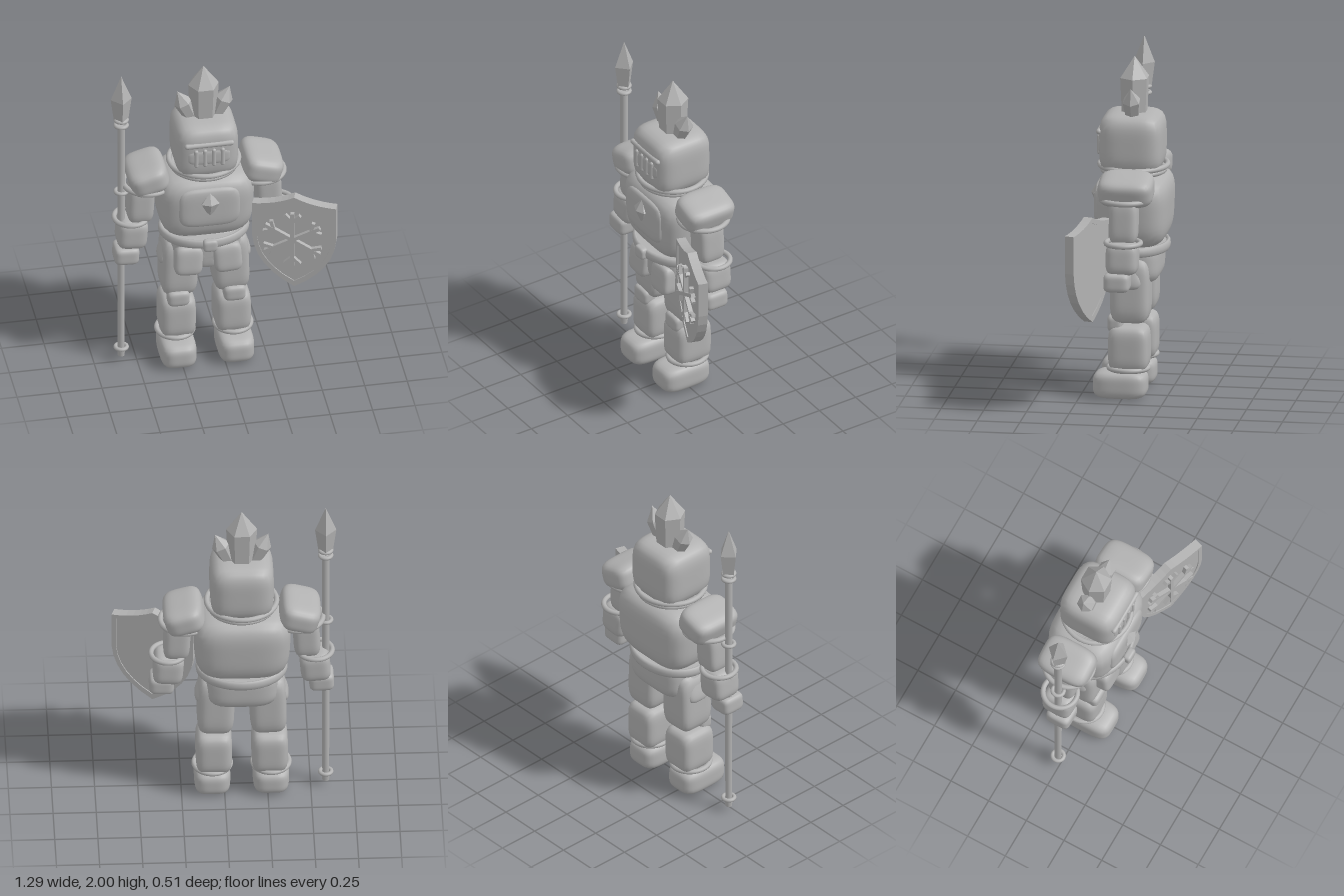
import * as THREE from 'three';
import { mergeVertices } from 'three/addons/utils/BufferGeometryUtils.js';

const steel = new THREE.MeshStandardMaterial({ color: 0xb2b2b2 });
steel.name = 'grey steel';

function add(parent, name, geo, x = 0, y = 0, z = 0, rz = 0, rx = 0) {
  const m = new THREE.Mesh(geo, steel);
  m.name = name;
  m.position.set(x, y, z);
  m.rotation.set(rx, 0, rz);
  parent.add(m);
  return m;
}

// Smooth pillow block; n sets how boxy it is, taper widens the top
function puff(w, h, d, n = 4.5, taper = 0) {
  let g = new THREE.BoxGeometry(2, 2, 2, 12, 12, 12);
  g.deleteAttribute('uv');
  g.deleteAttribute('normal');
  g = mergeVertices(g);
  const p = g.attributes.position;
  for (let i = 0; i < p.count; i++) {
    const v = [p.getX(i), p.getY(i), p.getZ(i)].map((c) => Math.tan(c * 0.7854));
    const r = Math.pow(v.reduce((s, c) => s + Math.abs(c) ** n, 0), 1 / n);
    const y = v[1] / r, k = 1 + taper * y;
    p.setXYZ(i, (v[0] / r) * k * w / 2, y * h / 2, (v[2] / r) * k * d / 2);
  }
  g.computeVertexNormals();
  return g;
}

// Horizontal oval band
const ring = (rx, rz, t, h = t) =>
  new THREE.TorusGeometry(rx, t, 10, 40).rotateX(Math.PI / 2).scale(1, h / t, rz / rx);

// Faceted turned shape from [radius, height] pairs
function facet(profile, sides, turn = 0) {
  const g = new THREE.LatheGeometry(profile.map(([r, y]) => new THREE.Vector2(r, y)), sides)
    .rotateY(turn).toNonIndexed();
  g.computeVertexNormals();
  return g;
}

function buildBody(body) {
  // Head, visor and collar
  add(body, 'helmet', puff(0.37, 0.36, 0.37, 4.5), 0, 1.495, -0.03);
  add(body, 'brow', new THREE.CapsuleGeometry(0.016, 0.26, 6, 12).rotateZ(Math.PI / 2), 0, 1.572, 0.15);
  add(body, 'visorPlate', puff(0.25, 0.1, 0.05, 4), 0, 1.485, 0.135);
  for (let i = 0; i < 4; i++)
    add(body, 'visorBar', new THREE.CapsuleGeometry(0.013, 0.095, 6, 10), -0.078 + i * 0.052, 1.485, 0.155);
  add(body, 'collarTop', ring(0.203, 0.197, 0.016), 0, 1.357, -0.035);
  add(body, 'collarBottom', ring(0.185, 0.18, 0.016), 0, 1.327, -0.035);

  // Crystal crest
  add(body, 'crestCrystal', facet([[0, 0], [0.078, 0], [0.09, 0.245], [0, 0.37]], 6, Math.PI / 6 + Math.PI / 3),
    0, 1.63, -0.04);
  for (const s of [-1, 1])
    add(body, 'sideCrystal', facet([[0, 0], [0.038, 0], [0.055, 0.14], [0, 0.225]], 6, Math.PI / 2),
      s * 0.065, 1.632, -0.04, -s * 0.41);

  // Torso
  add(body, 'chest', puff(0.56, 0.43, 0.42, 4, 0.04), 0, 1.105, -0.045);
  add(body, 'chestPlate', puff(0.36, 0.26, 0.09, 4.5), 0, 1.135, 0.135);
  add(body, 'chestGem', facet([[0, -0.09], [0.06, 0.02], [0, 0.09]], 6, 0).scale(1, 1, 0.75), 0, 1.16, 0.17);
  add(body, 'pelvis', puff(0.42, 0.26, 0.32, 4), 0, 0.8, -0.045);
  add(body, 'belt', ring(0.25, 0.2, 0.017, 0.029), 0, 0.882, -0.035);
  add(body, 'waist', new THREE.CylinderGeometry(0.245, 0.245, 0.03, 40).scale(1, 1, 0.8), 0, 0.882, -0.035);
  add(body, 'buckle', puff(0.085, 0.075, 0.05, 4), 0, 0.882, 0.178);
  add(body, 'frontFlap', puff(0.12, 0.2, 0.09, 4, 0.15), 0, 0.765, 0.07);

  for (const s of [-1, 1]) {
    // Legs
    add(body, 'hipPlate', puff(0.165, 0.185, 0.1, 4.5), s * 0.115, 0.74, 0.095, s * 0.06, -0.1);
    add(body, 'sideHipPlate', puff(0.06, 0.2, 0.13, 3, -0.45), s * 0.225, 0.76, -0.04, s * 0.2);
    add(body, 'thigh', puff(0.215, 0.385, 0.23, 5), s * 0.15, 0.645, -0.042, s * 0.03);
    add(body, 'knee', puff(0.13, 0.1, 0.09, 4), s * 0.165, 0.448, 0.045);
    add(body, 'shin', puff(0.21, 0.27, 0.235, 5), s * 0.162, 0.302, -0.035);
    add(body, 'ankleRing', ring(0.106, 0.113, 0.015), s * 0.17, 0.182, -0.03);
    add(body, 'boot', puff(0.21, 0.165, 0.315, 4), s * 0.17, 0.085, 0.015);
    // Arms
    add(body, 'shoulderPad', puff(0.235, 0.165, 0.32, 4), s * 0.335, 1.29, -0.043, -s * 0.28);
    add(body, 'shoulderRing', ring(0.143, 0.143, 0.016), s * 0.328, 1.23, -0.037);
    add(body, 'upperArm', puff(0.155, 0.27, 0.165, 4.5), s * 0.375, 1.11, -0.035, s * 0.05);
    add(body, 'elbowRing', ring(0.098, 0.1, 0.015), s * 0.427, 0.99, -0.04);
    add(body, 'forearm', puff(0.175, 0.19, 0.185, 4.5), s * 0.425, 0.9, -0.035, s * 0.08);
    add(body, 'hand', puff(0.145, 0.11, 0.15, 5), s * 0.463, 0.765, -0.01, s * 0.04);
  }
}

function buildSpear(spear) {
  add(spear, 'shaft', new THREE.CylinderGeometry(0.023, 0.02, 1.62, 12), 0, 0.85, 0);
  add(spear, 'buttCap', new THREE.CylinderGeometry(0.024, 0.02, 0.045, 12), 0, 0.055, 0);
  for (const y of [0.09, 1.19, 1.657, 1.695])
    add(spear, 'shaftRing', ring(0.033, 0.033, 0.012), 0, y, 0);
  add(spear, 'spearhead', facet([[0, 1.68], [0.042, 1.69], [0.062, 1.84], [0, 2.0]], 4));
}

// Shield outline, scaled about its middle
function shieldOutline(k, Kind = THREE.Shape) {
  const s = new Kind(), X = (x) => x * k, Y = (y) => 0.87 + (y - 0.87) * k;
  s.moveTo(X(0), Y(0.53));
  s.quadraticCurveTo(X(0.23), Y(0.66), X(0.245), Y(0.87));
  s.lineTo(X(0.245), Y(1.095));
  s.quadraticCurveTo(X(0.11), Y(1.1), X(0), Y(1.155));
  s.quadraticCurveTo(X(-0.11), Y(1.1), X(-0.245), Y(1.095));
  s.lineTo(X(-0.245), Y(0.87));
  s.quadraticCurveTo(X(-0.23), Y(0.66), X(0), Y(0.53));
  return s;
}

function buildShield(shield) {
  const extrude = (shape, depth) =>
    new THREE.ExtrudeGeometry(shape, { depth, bevelEnabled: false, curveSegments: 6 }).translate(0, 0, -depth / 2);
  const rim = shieldOutline(1);
  rim.holes.push(shieldOutline(0.89, THREE.Path));
  add(shield, 'shieldRim', extrude(rim, 0.056));
  add(shield, 'shieldPanel', extrude(shieldOutline(0.9), 0.044));

  // Raised snowflake
  const flake = new THREE.Group();
  flake.name = 'snowflake';
  flake.position.set(-0.01, 0.865, 0.032);
  shield.add(flake);
  for (let i = 0; i < 6; i++) {
    const arm = new THREE.Group();
    arm.name = 'snowflakeArm';
    arm.rotation.z = (i * Math.PI) / 3;
    flake.add(arm);
    add(arm, 'spoke', new THREE.BoxGeometry(0.022, 0.185, 0.03), 0, 0.0925, 0);
    for (const s of [-1, 1])
      add(arm, 'branch', new THREE.BoxGeometry(0.02, 0.065, 0.028), s * 0.022, 0.147, 0, -s * 0.8);
  }
}

export function createModel() {
  const model = new THREE.Group();
  model.name = 'armouredGuard';
  const part = (name, x, z, build, turn = 0) => {
    const g = new THREE.Group();
    g.name = name;
    g.position.set(x, 0, z);
    g.rotation.y = turn;
    build(g);
    model.add(g);
  };
  part('body', -0.1, 0, buildBody);
  part('spear', -0.588, -0.02, buildSpear);
  part('shield', 0.402, 0.153, buildShield, -0.31);
  return model;
}
